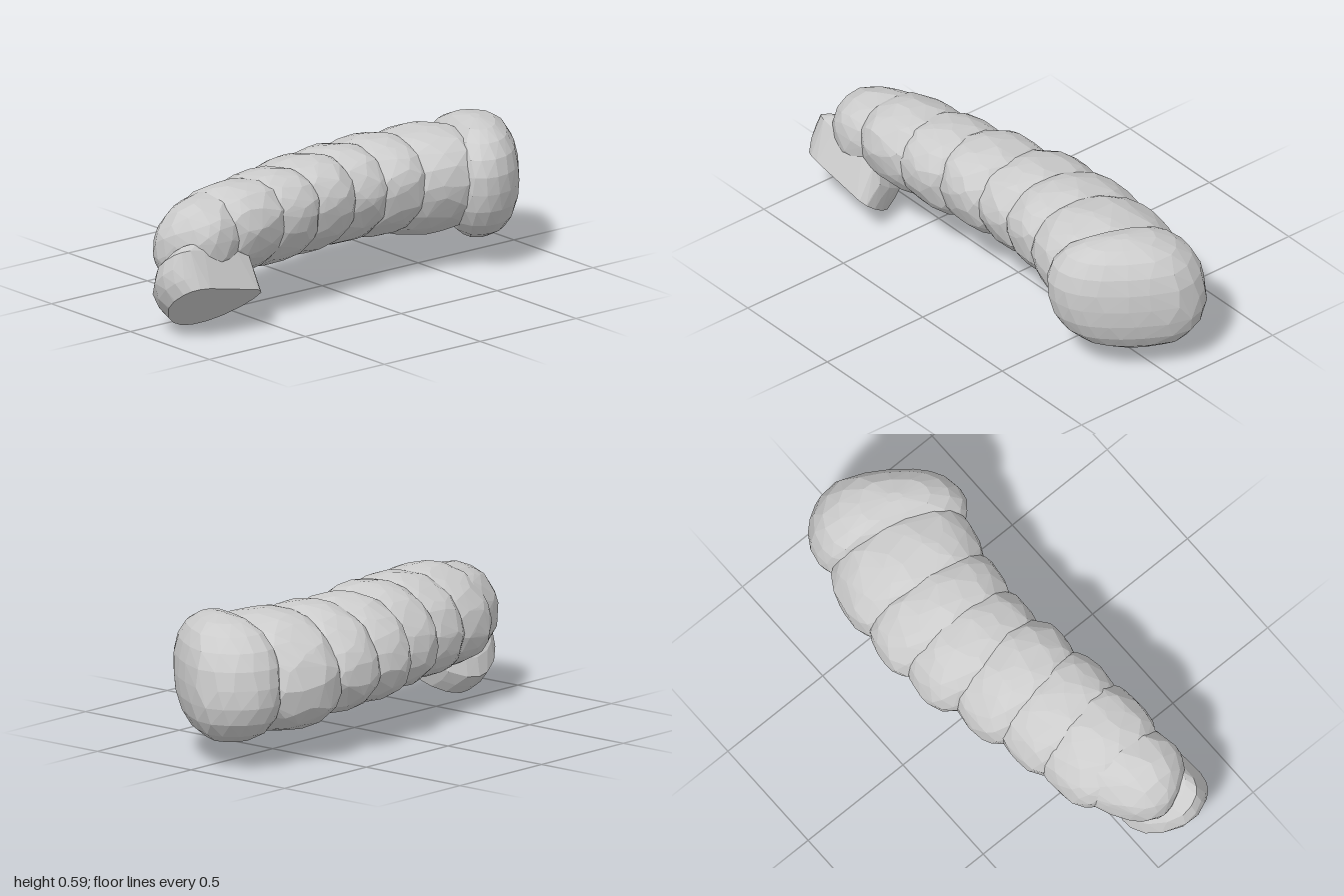
import * as THREE from 'three';
import { ConvexGeometry } from 'three/addons/geometries/ConvexGeometry.js';

const material = new THREE.MeshStandardMaterial({ color: 0xcccccc, flatShading: true });

// Small seeded generator for irregular facets
function seeded(seed) {
  let s = seed * 7919 + 17;
  return () => (s = (s * 16807) % 2147483647) / 2147483647;
}

function hull(name, points) {
  const mesh = new THREE.Mesh(new ConvexGeometry(points), material);
  mesh.name = name;
  return mesh;
}

// Faceted ring: superellipsoid hull, leaning in x with height
function lump(name, [x, y, z], [rx, ry, rz], yaw, lean, seed) {
  const rand = seeded(seed);
  const cross = 2.1, along = 2.8, count = 150;
  const points = [];
  for (let i = 0; i < count; i++) {
    const v = 1 - (2 * (i + 0.5)) / count;
    const a = i * 2.39996 + (rand() - 0.5) * 0.35;
    const r = Math.sqrt(1 - v * v);
    const d = new THREE.Vector3(r * Math.cos(a), r * Math.sin(a), v);
    const section = (Math.abs(d.x) ** cross + Math.abs(d.y) ** cross) ** (1 / cross);
    const norm = (section ** along + Math.abs(d.z) ** along) ** (1 / along);
    d.multiplyScalar((1 + rand() * 0.02) / norm);
    points.push(new THREE.Vector3(d.x * rx + lean * d.y * ry, d.y * ry, d.z * rz));
  }
  const mesh = hull(name, points);
  mesh.position.set(x, y, z);
  mesh.rotation.y = yaw;
  return mesh;
}

// Hull of one closed outline repeated at several layers: [centre, scale]
function layered(name, outline, middle, layers, seed) {
  const rand = seeded(seed);
  const curve = new THREE.CatmullRomCurve3(outline, true);
  const origin = new THREE.Vector3(...middle);
  const points = [];
  layers.forEach(([centre, scale]) => {
    const count = Math.round(8 + 10 * Math.min(scale, 1));
    const start = rand();
    for (let i = 0; i < count; i++) {
      const u = (start + (i + rand() * 0.3) / count) % 1;
      points.push(curve.getPoint(u).sub(origin).multiplyScalar(scale).add(new THREE.Vector3(...centre)));
    }
  });
  return hull(name, points);
}

export function createModel() {
  const group = new THREE.Group();
  group.name = 'segmentedBody';

  // Rear bulb: lopsided plan outline, rounded off above and below
  const bulbPlan = [
    [-0.24, -0.72], [-0.262, -0.82], [-0.2, -0.94], [-0.06, -1], [0.12, -0.92],
    [0.27, -0.8], [0.332, -0.7], [0.332, -0.59], [0.26, -0.53], [0, -0.6],
  ].map(([x, z]) => new THREE.Vector3(x, 0, z));
  const bulbLayers = [];
  for (let i = 0; i <= 10; i++) {
    const t = Math.sin((i / 10 - 0.5) * Math.PI * 0.96);
    const scale = (1 - Math.abs(t) ** 2.4) ** (1 / 2.4);
    bulbLayers.push([[0.045 + 0.03 * t, 0.342 + 0.253 * t, -0.755 + 0.02 * t], scale]);
  }
  group.add(layered('rearBulb', bulbPlan, [0.045, 0, -0.755], bulbLayers, 3));

  // Overlapping body rings along a gentle curve: centre, radii, yaw
  const rings = [
    [[-0.025, 0.345, -0.53], [0.295, 0.235, 0.225], -0.25],
    [[-0.055, 0.36, -0.295], [0.28, 0.215, 0.185], -0.15],
    [[-0.052, 0.362, -0.09], [0.266, 0.21, 0.19], -0.16],
    [[-0.008, 0.37, 0.125], [0.247, 0.21, 0.195], -0.05],
    [[0.033, 0.367, 0.34], [0.235, 0.205, 0.195], 0],
    [[0.064, 0.368, 0.545], [0.224, 0.2, 0.205], 0.08],
  ];
  rings.forEach(([centre, radii, yaw], i) =>
    group.add(lump(`bodyRing${i + 1}`, centre, radii, yaw, 0.25, 10 + i)));

  // Front end, narrowing towards the bend
  group.add(lump('frontEnd', [0.085, 0.355, 0.68], [0.178, 0.187, 0.245], 0.45, 0.12, 21));

  // Stump with a flat slanted cut: outline given as z and y, x found on the cutting plane
  const cut = [
    [0.97, 0.16], [0.95, 0.225], [0.89, 0.238], [0.72, 0.2], [0.585, 0.17],
    [0.585, 0.105], [0.67, 0.02], [0.77, 0.003], [0.88, 0.05],
  ].map(([z, y]) => new THREE.Vector3(0.335 + (y - 0.24 - 0.2 * (z - 0.9)) / 0.82, y, z));
  group.add(layered('cutStump', cut, [0.2, 0.125, 0.775], [
    [[0.2, 0.125, 0.775], 1],
    [[0.2, 0.125, 0.775], 1],
    [[0.165, 0.165, 0.785], 1.06],
    [[0.135, 0.21, 0.787], 1.08],
    [[0.135, 0.275, 0.787], 0.98],
    [[0.145, 0.32, 0.785], 0.72],
    [[0.15, 0.345, 0.78], 0.4],
  ], 29));

  return group;
}
